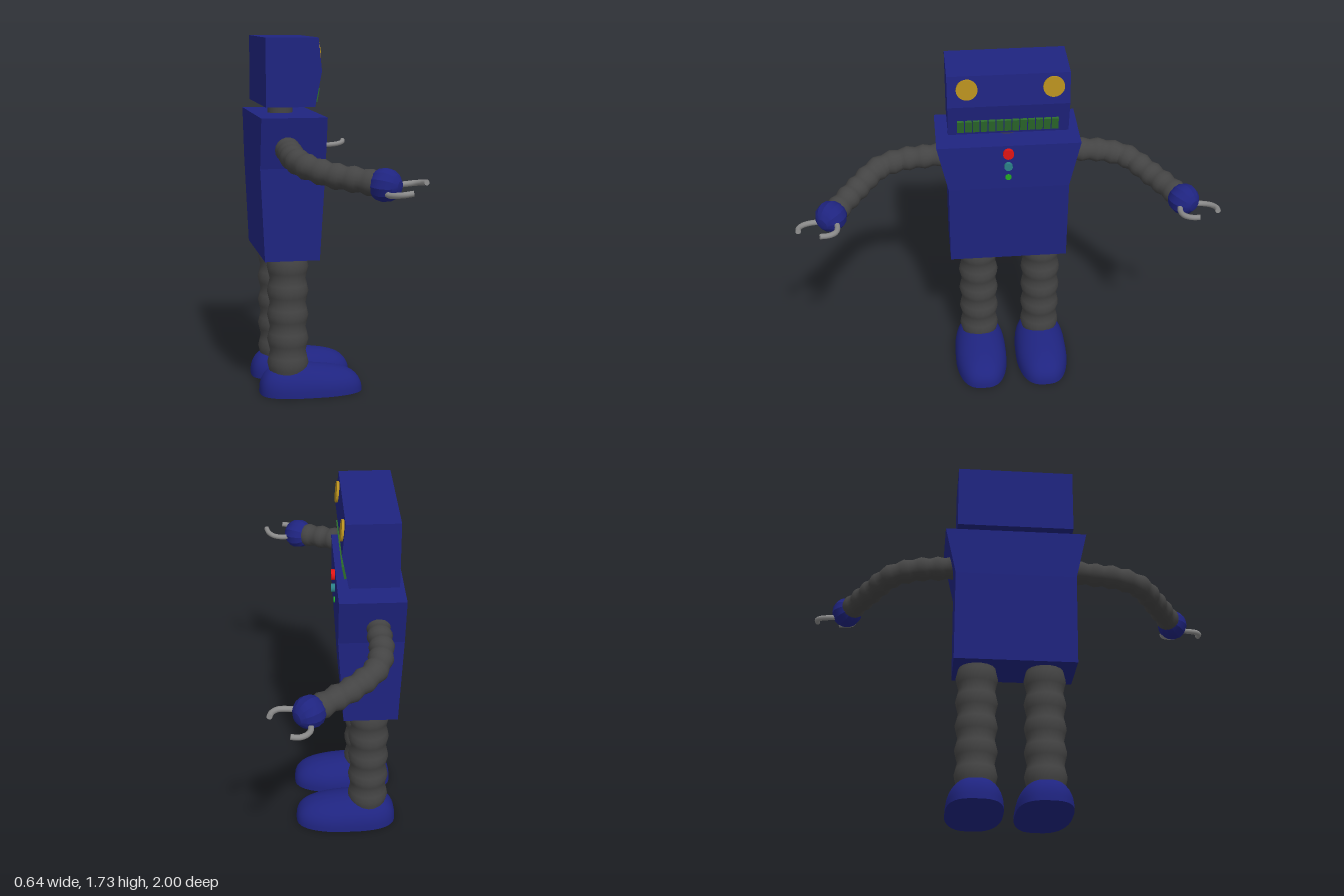
import * as THREE from 'three';
import { toCreasedNormals } from 'three/addons/utils/BufferGeometryUtils.js';

const paint = (color) => new THREE.MeshStandardMaterial({ color });
const NAVY = paint(0x1f2480), DARK = paint(0x444444), STEEL = paint(0x8a8a8a), GOLD = paint(0xb8901e);
const GREEN = paint(0x2c6b2c), RED = paint(0xe01414), TEAL = paint(0x2a7f86), LIME = paint(0x22aa22);
const MID_Z = -0.014; // centre plane of head and torso

function add(parent, name, geometry, material, x = 0, y = 0, z = 0) {
  const mesh = new THREE.Mesh(geometry, material);
  mesh.name = name;
  mesh.position.set(x, y, z);
  parent.add(mesh);
  return mesh;
}

// Move every vertex of a geometry by a rule, then recompute creased normals
function reshape(geometry, rule, crease = 0.6) {
  const p = geometry.attributes.position, v = new THREE.Vector3();
  for (let i = 0; i < p.count; i++) {
    rule(v.fromBufferAttribute(p, i));
    p.setXYZ(i, v.x, v.y, v.z);
  }
  return toCreasedNormals(geometry, crease);
}

// Box with three levels, each [y, back x, front x, half width], bottom to top
function levelBox(levels) {
  return reshape(new THREE.BoxGeometry(2, 2, 2, 1, 2, 1), (v) => {
    const [y, back, front, half] = levels[Math.round(v.y) + 1];
    v.set(v.x < 0 ? back : front, y, v.z * half);
  }, 0.01);
}

// Flexible hose: a tube whose rings swell and narrow along the path
function hose(points, ribs, thin, thick) {
  const curve = new THREE.CatmullRomCurve3(points.map((p) => new THREE.Vector3(...p)));
  const rings = ribs * 4, sides = 18;
  const geometry = new THREE.TubeGeometry(curve, rings, 1, sides);
  const p = geometry.attributes.position, v = new THREE.Vector3();
  for (let i = 0; i <= rings; i++) {
    const centre = curve.getPointAt(i / rings);
    const r = thin + (thick - thin) * Math.sin((i * Math.PI) / 4) ** 2;
    for (let j = 0; j <= sides; j++) {
      const k = i * (sides + 1) + j;
      v.fromBufferAttribute(p, k).sub(centre).multiplyScalar(r).add(centre);
      p.setXYZ(k, v.x, v.y, v.z);
    }
  }
  return toCreasedNormals(geometry, 0.7);
}

// Loaf-shaped shoe with a flat sole, sloping down to the toe
function footGeometry() {
  const spow = (a, e) => Math.sign(a) * Math.abs(a) ** e;
  return reshape(new THREE.SphereGeometry(1, 40, 24), (v) => {
    const r = Math.hypot(v.x, v.z), up = Math.max(0, v.y);
    const c = r > 1e-6 ? v.x / r : 0, s = r > 1e-6 ? v.z / r : 0;
    const x = 0.2525 * spow(c, 0.7) * r ** 0.5 - 0.0625;
    const z = 0.135 * spow(s, 0.7) * r * (1 - 0.5 * Math.max(0, x));
    const y = up < 1e-4 ? 0 : 0.142 * up ** 0.8 * (1 - 0.8 * Math.max(0, x + 0.1));
    v.set(x, y, z);
  }, 0.7);
}

// Disc facing forward (+x)
function disc(parent, name, r, depth, material, x, y, z) {
  const geometry = new THREE.CylinderGeometry(r, r, depth, 28).rotateZ(-Math.PI / 2);
  return add(parent, name, geometry, material, x, y, z);
}

// Arm, hand and two curved fingers; side is the sign of z
function makeArm(side) {
  const arm = new THREE.Group();
  arm.name = side < 0 ? 'leftArm' : 'rightArm';
  const path = [[-0.2, 1.215, 0.27], [-0.2, 1.205, 0.37], [-0.2, 1.19, 0.5], [-0.165, 1.17, 0.61],
    [-0.06, 1.14, 0.705], [0.05, 1.125, 0.78], [0.11, 1.115, 0.82]];
  const flip = (pts) => pts.map(([x, y, z]) => [x, y, z * side]);
  add(arm, 'armHose', hose(flip(path), 9, 0.05, 0.06), DARK);

  // Faceted ball hand lying along the forearm
  const hand = add(arm, 'hand', toCreasedNormals(new THREE.SphereGeometry(0.075, 12, 8), 0.4),
    NAVY, 0.135, 1.113, side * 0.835);
  hand.quaternion.setFromUnitVectors(new THREE.Vector3(0, 1, 0),
    new THREE.Vector3(0.8, -0.08, side * 0.59).normalize());

  const fingers = {
    outerFinger: [[0.13, 1.08, 0.88], [0.135, 1.08, 0.93], [0.155, 1.085, 0.965], [0.185, 1.09, 0.985], [0.22, 1.095, 0.986]],
    innerFinger: [[0.18, 1.108, 0.81], [0.23, 1.11, 0.803], [0.27, 1.115, 0.812], [0.295, 1.12, 0.84], [0.306, 1.125, 0.88]],
  };
  for (const [name, pts] of Object.entries(fingers)) {
    const curve = new THREE.CatmullRomCurve3(flip(pts).map((p) => new THREE.Vector3(...p)));
    add(arm, name, new THREE.TubeGeometry(curve, 20, 0.013, 10), STEEL);
    const tip = curve.getPoint(1);
    const cap = add(arm, name + 'Tip', new THREE.CircleGeometry(0.013, 10), STEEL, tip.x, tip.y, tip.z);
    cap.quaternion.setFromUnitVectors(new THREE.Vector3(0, 0, 1), curve.getTangent(1));
  }
  return arm;
}

function makeHead() {
  const head = new THREE.Group();
  head.name = 'head';
  add(head, 'skull', levelBox([[1.405, -0.295, -0.064, 0.285], [1.57, -0.295, -0.032, 0.285],
    [1.725, -0.295, -0.048, 0.285]]), NAVY, 0, 0, MID_Z);

  // Eyes tilt with the upper face
  for (const side of [-1, 1]) {
    const eye = disc(head, side < 0 ? 'leftEye' : 'rightEye', 0.05, 0.014, GOLD, -0.037, 1.66, -0.021 + side * 0.201);
    eye.rotation.z = 0.1;
  }
  // Row of mouth bars on the lower face
  for (let i = 0; i < 13; i++) {
    const bar = add(head, 'mouthBar', new THREE.BoxGeometry(0.012, 0.064, 0.032), GREEN,
      -0.046, 1.458, -0.01 + (i - 6) * 0.037);
    bar.rotation.z = -0.19;
  }
  return head;
}

export function createModel() {
  const robot = new THREE.Group();
  robot.name = 'robot';

  // Torso flares at the shoulders and narrows toward the hips
  add(robot, 'torso', levelBox([[0.68, -0.305, -0.043, 0.291], [1.12, -0.325, -0.016, 0.291],
    [1.36, -0.325, -0.016, 0.343]]), NAVY, 0, 0, MID_Z);
  add(robot, 'neck', new THREE.CylinderGeometry(0.06, 0.06, 0.09, 24), DARK, -0.185, 1.38, MID_Z);
  robot.add(makeHead());

  // Chest buttons
  disc(robot, 'redButton', 0.026, 0.03, RED, -0.013, 1.32, -0.01);
  disc(robot, 'tealButton', 0.02, 0.03, TEAL, -0.013, 1.25, -0.01);
  disc(robot, 'greenButton', 0.015, 0.03, LIME, -0.025, 1.185, -0.01);

  // Legs, feet and arms
  const foot = footGeometry();
  for (const side of [-1, 1]) {
    const z = -0.028 + side * 0.161;
    const leg = new THREE.Group();
    leg.name = side < 0 ? 'leftLeg' : 'rightLeg';
    add(leg, 'legHose', hose([[-0.175, 0.09, z], [-0.175, 0.4, z], [-0.175, 0.69, z]], 5, 0.087, 0.101), DARK);
    add(leg, 'foot', foot, NAVY, 0, 0, z);
    robot.add(leg, makeArm(side));
  }
  return robot;
}
